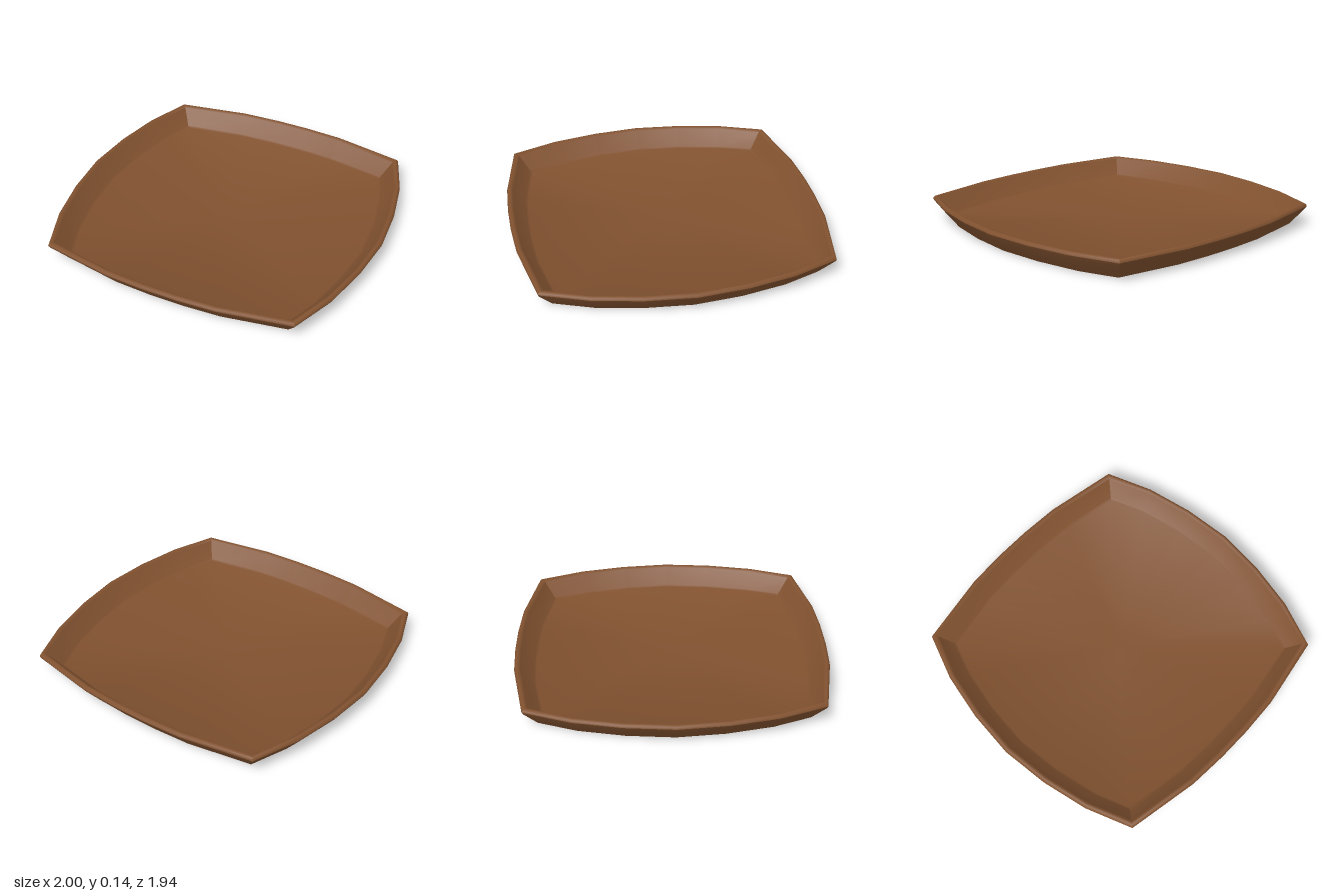
import * as THREE from 'three';
import { toCreasedNormals } from 'three/addons/utils/BufferGeometryUtils.js';

// One quarter of the rim outline, from the left edge to the front edge (x, z)
const QUARTER = [[1, 0], [0.973, 0.3], [0.912, 0.59], [0.803, 0.875], [0.355, 0.956], [0.11, 0.97]];

// Section through the wall: inset from the outline, height
const SECTION = [
  [0.1, 0], [0.09, 0.004], [0.084, 0.012], [0.008, 0.106], [0, 0.121], [0.004, 0.133],
  [0.014, 0.14], [0.027, 0.139], [0.037, 0.13], [0.115, 0.032], [0.128, 0.025],
];

// Mirror the quarter into a closed loop
function outline() {
  const half = [...QUARTER, ...QUARTER.slice().reverse().map(([x, z]) => [-x, z])];
  const back = half.slice(1, -1).reverse().map(([x, z]) => [x, -z]);
  return [...half, ...back].map(([x, z]) => new THREE.Vector2(x, z));
}

// Mitred inward direction at each outline point
function insetDirections(points) {
  const n = points.length;
  const normal = (a, b) => new THREE.Vector2(b.y - a.y, a.x - b.x).normalize();
  return points.map((p, i) => {
    const n1 = normal(points[(i + n - 1) % n], p);
    const n2 = normal(p, points[(i + 1) % n]);
    return n1.clone().add(n2).divideScalar(-(1 + n1.dot(n2)));
  });
}

function trayGeometry() {
  const points = outline();
  const inward = insetDirections(points);
  const n = points.length;
  const rings = SECTION.map(([d, y]) => points.map((p, i) =>
    [p.x + inward[i].x * d, y, p.y + inward[i].y * d]));
  const positions = [];
  const tri = (a, b, c) => positions.push(...a, ...b, ...c);
  const last = rings.length - 1;
  for (let i = 0; i < n; i++) {
    const j = (i + 1) % n;
    // underside and inner floor
    tri([0, 0, 0], rings[0][i], rings[0][j]);
    tri(rings[last][i], [0, SECTION[last][1], 0], rings[last][j]);
    // sloping wall, rolled rim and inner wall
    for (let k = 0; k < last; k++) {
      const a = rings[k], b = rings[k + 1];
      tri(a[i], b[i], a[j]);
      tri(b[i], b[j], a[j]);
    }
  }
  const geometry = new THREE.BufferGeometry();
  geometry.setAttribute('position', new THREE.Float32BufferAttribute(positions, 3));
  return toCreasedNormals(geometry, THREE.MathUtils.degToRad(42));
}

export function createModel() {
  const group = new THREE.Group();
  group.name = 'servingTray';
  const wood = new THREE.MeshStandardMaterial({ color: 0x80512f });
  wood.name = 'brown wood';
  const tray = new THREE.Mesh(trayGeometry(), wood);
  tray.name = 'tray';
  group.add(tray);
  return group;
}
